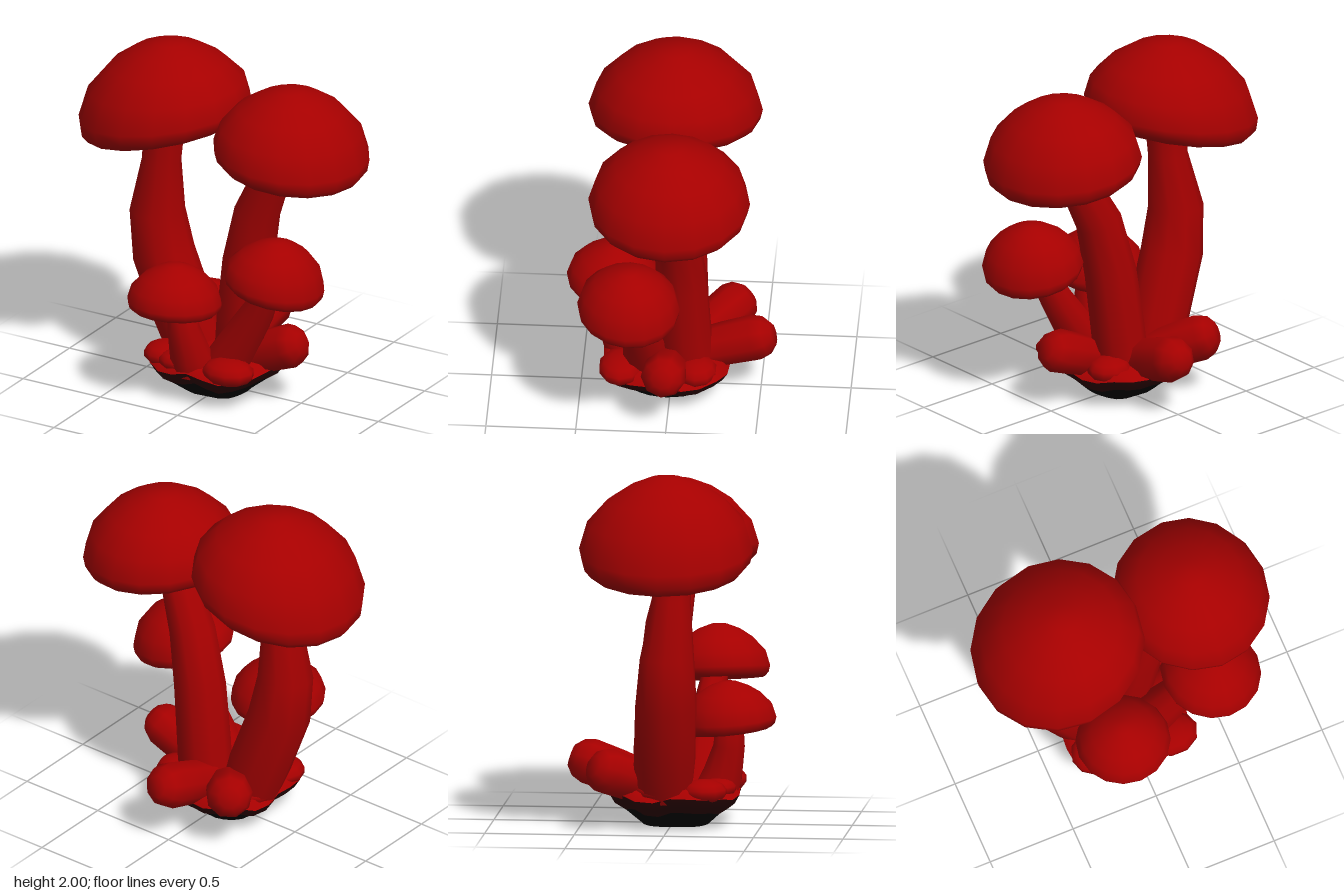
import * as THREE from 'three';
import { mergeVertices } from 'three/addons/utils/BufferGeometryUtils.js';

const mat = (name, color) => {
  const m = new THREE.MeshStandardMaterial({ color });
  m.name = name;
  return m;
};

// Lathe whose vertices are then moved by a rule, with smooth seamless normals
function moulded(profile, sides, rule) {
  let g = new THREE.LatheGeometry(profile.map(([x, y]) => new THREE.Vector2(x, y)), sides);
  g.deleteAttribute('uv');
  g.deleteAttribute('normal');
  const p = g.attributes.position, v = new THREE.Vector3();
  for (let i = 0; i < p.count; i++) {
    rule(v.fromBufferAttribute(p, i));
    p.setXYZ(i, v.x, v.y, v.z);
  }
  g = mergeVertices(g, 1e-4);
  g.computeVertexNormals();
  return g;
}

// Swept round body through stations [x, y, z, radius]
function sweep(stations, sides = 10) {
  const c = stations.map(s => new THREE.Vector3(s[0], s[1], s[2]));
  const pos = [], idx = [], n = stations.length;
  const ref = new THREE.Vector3(0.31, 0.05, 0.95);
  for (let i = 0; i < n; i++) {
    const t = c[Math.min(i + 1, n - 1)].clone().sub(c[Math.max(i - 1, 0)]).normalize();
    const u = ref.clone().addScaledVector(t, -ref.dot(t)).normalize();
    const w = t.clone().cross(u);
    for (let j = 0; j < sides; j++) {
      const a = (j / sides) * Math.PI * 2, r = stations[i][3];
      const q = c[i].clone().addScaledVector(u, Math.cos(a) * r).addScaledVector(w, Math.sin(a) * r);
      pos.push(q.x, q.y, q.z);
      if (i < n - 1) {
        const k = i * sides + j, l = i * sides + (j + 1) % sides;
        idx.push(k, l, k + sides, l, l + sides, k + sides);
      }
    }
  }
  // close the far end
  const e = c[n - 1];
  pos.push(e.x, e.y, e.z);
  for (let j = 0; j < sides; j++) idx.push((n - 1) * sides + j, (n - 1) * sides + (j + 1) % sides, n * sides);
  const g = new THREE.BufferGeometry();
  g.setAttribute('position', new THREE.Float32BufferAttribute(pos, 3));
  g.setIndex(idx);
  g.computeVertexNormals();
  return g;
}

// Unit cap: hollow underside, rolled rim, dome
const capProfile = [[0, 0.2], [0.3, 0.19], [0.62, 0.13], [0.8, 0.03], [0.89, 0], [0.97, 0.08], [1, 0.21],
  [0.91, 0.5], [0.68, 0.74], [0.42, 0.9], [0.17, 0.99], [0, 1]];

// The rim tilts while the crown stays upright and leans sideways
function cap(x, y, z, rx, rz, h, tiltX, tiltZ, lean) {
  return moulded(capProfile, 16, v => {
    const fade = 1 - v.y, shift = lean * v.y;
    v.set(v.x * rx, v.y * h, v.z * rz);
    v.y += (v.x * tiltX + v.z * tiltZ) * fade;
    v.add(new THREE.Vector3(x + shift, y, z));
  });
}

// Stubby rounded bud from a to b
function bud(a, b, r) {
  const at = [[0, 0.9], [0.35, 1], [0.75, 1.05], [0.9, 0.88], [1, 0.5]];
  return sweep(at.map(([t, k]) => [0, 1, 2].map(i => a[i] + (b[i] - a[i]) * t).concat(r * k)), 9);
}

export function createModel() {
  const group = new THREE.Group();
  const red = mat('mushroomRed', 0xa60000);
  const dark = mat('darkSoil', 0x300202);
  const black = mat('blackSoil', 0x030303);
  const add = (name, g, m) => {
    const mesh = new THREE.Mesh(g, m);
    mesh.name = name;
    group.add(mesh);
  };

  // Caps
  add('tallLeftCap', cap(-0.39, 1.485, 0, 0.485, 0.485, 0.515, 0.21, 0, 0.04), red);
  add('tallRightCap', cap(0.43, 1.415, -0.015, 0.435, 0.45, 0.455, -0.12, 0, -0.01), red);
  add('middleCap', cap(0.45, 0.745, 0.21, 0.28, 0.285, 0.305, -0.19, 0.06, 0.01), red);
  add('smallCap', cap(-0.125, 0.545, 0.325, 0.265, 0.265, 0.275, 0, 0.1, 0), red);

  // Stems
  add('tallLeftStem', sweep([[-0.21, 0.2, -0.03, 0.16], [-0.27, 0.38, -0.02, 0.175], [-0.39, 0.72, 0, 0.175],
    [-0.425, 0.98, 0.01, 0.155], [-0.385, 1.3, 0.03, 0.11], [-0.37, 1.48, 0.03, 0.115], [-0.37, 1.62, 0.03, 0.12]]), red);
  add('tallRightStem', sweep([[0.06, 0.2, -0.09, 0.15], [0.08, 0.42, -0.08, 0.15], [0.12, 0.76, -0.065, 0.145],
    [0.19, 1.08, -0.045, 0.13], [0.33, 1.38, 0, 0.105], [0.38, 1.54, 0, 0.1]]), red);
  add('middleStem', sweep([[0.09, 0.2, 0.13, 0.13], [0.17, 0.33, 0.14, 0.12], [0.31, 0.56, 0.16, 0.095],
    [0.41, 0.76, 0.19, 0.075], [0.43, 0.84, 0.2, 0.07]]), red);
  add('smallStem', sweep([[-0.05, 0.2, 0.25, 0.125], [-0.05, 0.28, 0.28, 0.115], [-0.07, 0.45, 0.32, 0.09],
    [-0.08, 0.62, 0.325, 0.075]]), red);

  // Young buds leaning outward
  add('leftBud', bud([0.18, 0.23, 0.01], [0.52, 0.375, 0.02], 0.12), red);
  add('backBud', bud([0.0, 0.23, -0.16], [0.03, 0.365, -0.57], 0.125), red);
  add('backRightBud', bud([-0.14, 0.23, -0.14], [-0.36, 0.365, -0.41], 0.125), red);

  // Small lumps around the foot
  const lumps = [[0.19, 0.22, 0.27, 0.155, 0.075, 0.125], [-0.25, 0.215, 0.2, 0.13, 0.07, 0.13],
    [-0.13, 0.22, 0.27, 0.12, 0.06, 0.1], [0.2, 0.22, -0.15, 0.13, 0.075, 0.12],
    [-0.08, 0.22, -0.2, 0.14, 0.06, 0.08], [-0.26, 0.215, -0.04, 0.12, 0.07, 0.15]];
  for (const [x, y, z, a, b, c] of lumps) {
    const g = new THREE.SphereGeometry(1, 10, 7);
    g.scale(a, b, c);
    g.translate(x, y, z);
    add('footLump', g, red);
  }

  // Uneven, squarish clump of soil: black underneath, dark band, red top
  const uneven = v => {
    const a = Math.atan2(v.z, v.x), k = 1 - 0.06 * Math.cos(4 * a) + 0.02 * Math.cos(7 * a);
    const r = Math.hypot(v.x, v.z);
    v.y += r > 0.25 ? 0.012 * Math.sin(5 * a) + 0.008 * Math.cos(8 * a) : 0;
    v.x = v.x * k - 0.018;
    v.z = v.z * k + 0.02;
  };
  const low = [0.285, 0.09], high = [0.38, 0.18];
  add('soilBottom', moulded([[0, 0], [0.19, 0.005], low], 24, uneven), black);
  add('soilBand', moulded([low, [0.35, 0.13], high], 24, uneven), dark);
  add('footMound', moulded([high, [0.345, 0.225], [0.2, 0.25], [0, 0.26]], 24, uneven), red);

  return group;
}
